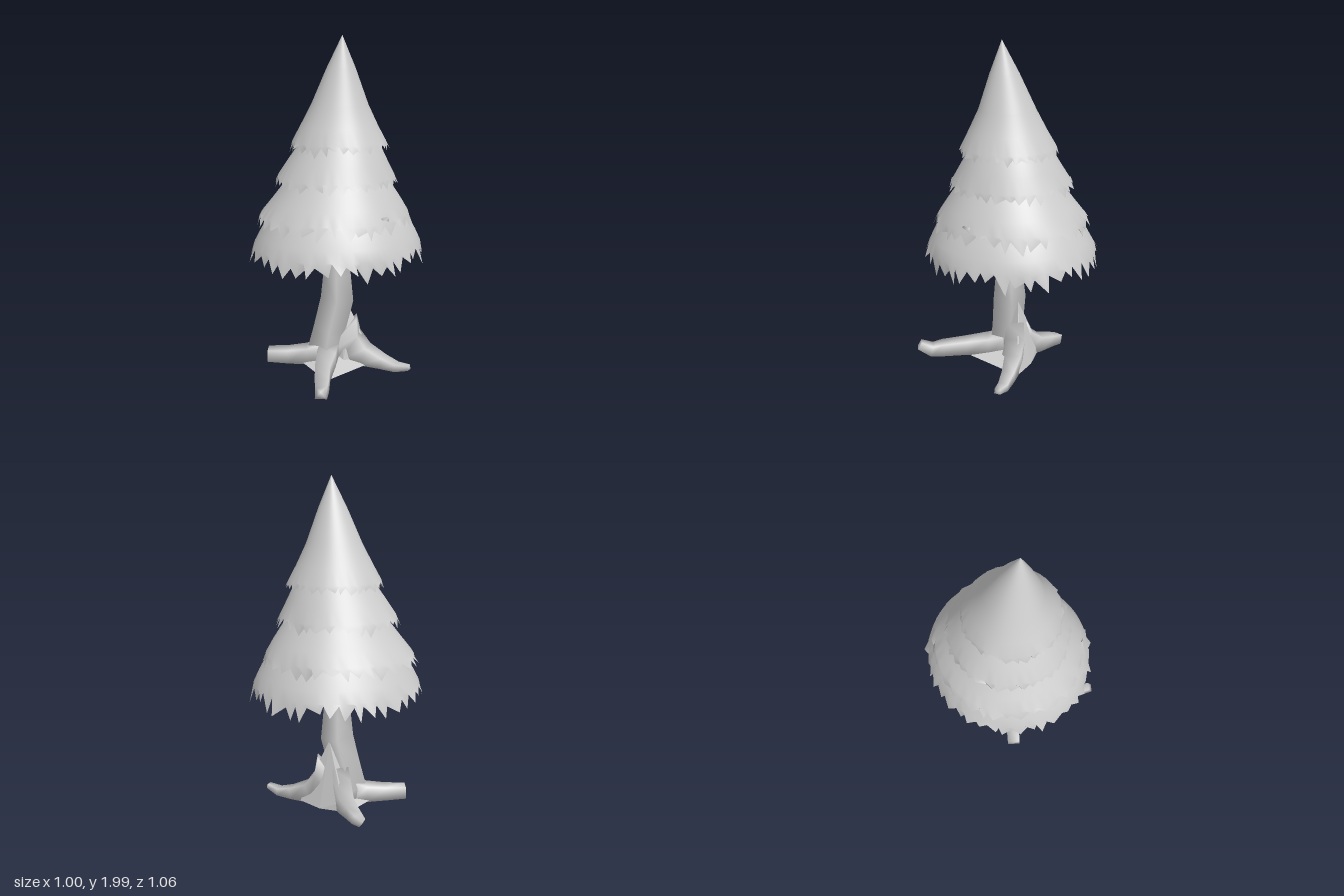
import * as THREE from 'three';
import { ConvexGeometry } from 'three/addons/geometries/ConvexGeometry.js';

const material = new THREE.MeshStandardMaterial({ color: 0xcccccc, side: THREE.DoubleSide });
const UP = new THREE.Vector3(0, 1, 0);
const FRONT = new THREE.Vector3(0, 0, 1);

// Small seeded generator for the ragged edges
function seeded(seed) {
  return () => {
    seed = (seed * 16807) % 2147483647;
    return seed / 2147483647;
  };
}

function part(name, geometry) {
  const mesh = new THREE.Mesh(geometry, material);
  mesh.name = name;
  return mesh;
}

// Skin a list of closed rings, each holding the same number of points
function loft(name, rings) {
  const n = rings[0].length;
  const index = [];
  for (let i = 0; i < rings.length - 1; i++) {
    for (let j = 0; j < n; j++) {
      const a = i * n + j, b = i * n + ((j + 1) % n);
      index.push(a, b, a + n, b, b + n, a + n);
    }
  }
  const geometry = new THREE.BufferGeometry().setFromPoints(rings.flat());
  geometry.setIndex(index);
  geometry.computeVertexNormals();
  return part(name, geometry);
}

// Four-sided limb through [x, y, z, halfWidth, halfHeight] stations, closed at both ends
function limb(name, stations, reference = UP) {
  const centres = stations.map(([x, y, z]) => new THREE.Vector3(x, y, z));
  const last = centres.length - 1;
  const rings = centres.map((c, i) => {
    const t = centres[Math.min(i + 1, last)].clone().sub(centres[Math.max(i - 1, 0)]).normalize();
    const u = reference.clone().cross(t).normalize();
    const v = t.clone().cross(u);
    const [, , , w, h = w] = stations[i];
    return [[1, 1], [-1, 1], [-1, -1], [1, -1]].map(([p, q]) =>
      c.clone().addScaledVector(u, p * w).addScaledVector(v, q * h));
  });
  const cap = (c) => Array.from({ length: 4 }, () => c.clone());
  return loft(name, [cap(centres[0]), ...rings, cap(centres[last])]);
}

// Solid web stretched over a few corner points
function web(name, corners) {
  return part(name, new ConvexGeometry(corners.map((c) => new THREE.Vector3(...c))));
}

// Open foliage skirt: [y, radius, centreX, centreZ] rows, the last one ragged
function skirt(name, rows, teeth, depth, stretch, seed) {
  const random = seeded(seed);
  const n = teeth * 2;
  const phase = random() * 6;
  const shift = Array.from({ length: n }, () => (random() - 0.5) * 1.2);
  const ring = ([y, r, cx, cz], ragged) => Array.from({ length: n }, (_, j) => {
    const a = ((j + (ragged ? shift[j] : 0)) / n) * Math.PI * 2;
    const wave = 1 + 0.006 * Math.sin(5 * a + phase) - stretch * Math.cos(2 * a);
    let drop = 0, flare = 1;
    if (ragged) {
      drop = depth * 0.2 * Math.sin(6 * a + phase);
      drop += j % 2 ? depth * (0.25 + 0.8 * random()) : -depth * 0.3 * random();
      flare = j % 2 ? 0.99 + 0.06 * random() : 0.985;
    }
    const radius = r * wave * flare;
    return new THREE.Vector3(cx + Math.cos(a) * radius, y - drop, cz + Math.sin(a) * radius);
  });
  return loft(name, rows.map((row, i) => ring(row, i === rows.length - 1)));
}

export function createModel() {
  const tree = new THREE.Group();
  tree.name = 'tree';

  // Foliage, top to bottom
  const foliage = new THREE.Group();
  foliage.name = 'foliage';
  foliage.add(
    skirt('topFoliage', [
      [2.0, 0, 0.063, 0.01], [1.82, 0.082, 0.047, 0.005], [1.62, 0.162, 0.03, 0],
      [1.5, 0.222, 0.025, 0], [1.415, 0.268, 0.022, -0.002], [1.395, 0.278, 0.022, -0.003],
    ], 34, 0.04, 0.005, 11),
    skirt('upperFoliage', [
      [1.52, 0.14, 0.02, -0.01], [1.4, 0.23, 0.015, -0.01], [1.3, 0.288, 0.005, -0.005],
      [1.215, 0.338, -0.003, -0.002], [1.195, 0.35, -0.005, 0],
    ], 36, 0.045, 0.005, 23),
    skirt('middleFoliage', [
      [1.34, 0.18, 0.01, 0], [1.17, 0.308, 0.008, -0.002], [1.07, 0.379, 0, 0],
      [1.0, 0.428, -0.01, 0.002], [0.975, 0.445, -0.013, 0.004],
    ], 38, 0.055, 0.015, 37),
    skirt('lowerFoliage', [
      [1.12, 0.31, 0.005, -0.005], [0.95, 0.42, 0.008, -0.005], [0.88, 0.459, 0.007, -0.005],
      [0.82, 0.489, 0.004, -0.005], [0.79, 0.5, 0.002, -0.005],
    ], 40, 0.075, 0.024, 53),
  );
  tree.add(foliage);

  // Square trunk, bending forward and to one side at the foot
  tree.add(limb('trunk', [
    [-0.04, 0.03, 0.05, 0.07], [-0.04, 0.12, 0.045, 0.08], [-0.02, 0.26, 0.035, 0.069],
    [0.009, 0.45, 0, 0.07], [0.01, 0.6, 0.002, 0.059], [0.005, 0.73, 0.005, 0.054],
    [0.008, 0.86, 0, 0.06], [0.01, 1.0, 0, 0.045], [0.02, 1.2, 0, 0.03],
  ], FRONT));

  // Branches under the foliage
  const branches = [
    [[0, 0.78, 0, 0.045], [0.08, 0.88, -0.01, 0.05], [0.24, 0.97, -0.01, 0.04], [0.405, 1.01, 0, 0.025, 0.02]],
    [[0, 0.82, 0, 0.045], [-0.06, 0.9, -0.07, 0.045], [-0.15, 0.94, -0.17, 0.03], [-0.18, 0.95, -0.22, 0.02]],
  ];
  branches.forEach((b) => tree.add(limb('branch', b)));

  // Roots spreading over the ground
  const roots = {
    frontLeftRoot: [[0, 0.1, 0.06, 0.06, 0.07], [0.06, 0.1, 0.13, 0.055], [0.15, 0.09, 0.24, 0.045],
      [0.26, 0.088, 0.34, 0.04], [0.31, 0.082, 0.39, 0.034], [0.365, 0.125, 0.44, 0.025]],
    frontRightRoot: [[-0.05, 0.1, 0.06, 0.06, 0.07], [-0.12, 0.085, 0.13, 0.05],
      [-0.2, 0.08, 0.22, 0.042], [-0.285, 0.083, 0.31, 0.04, 0.036]],
    backLeftRoot: [[0, 0.2, -0.02, 0.05, 0.17], [0.05, 0.14, -0.07, 0.06, 0.1], [0.13, 0.09, -0.12, 0.05, 0.06],
      [0.24, 0.065, -0.165, 0.038, 0.035], [0.33, 0.052, -0.195, 0.03, 0.022], [0.41, 0.07, -0.215, 0.018, 0.014]],
    backRightRoot: [[-0.01, 0.17, -0.02, 0.05, 0.13], [-0.07, 0.13, -0.05, 0.055, 0.08], [-0.16, 0.09, -0.1, 0.045, 0.05],
      [-0.25, 0.083, -0.14, 0.035], [-0.3, 0.072, -0.155, 0.03], [-0.33, 0.047, -0.14, 0.024, 0.02]],
  };
  for (const [name, stations] of Object.entries(roots)) tree.add(limb(name, stations));

  // Sloping buttress between the two back roots
  tree.add(web('buttress', [
    [0.01, 0.44, -0.065], [0.07, 0.22, -0.03], [-0.07, 0.22, 0], [0.035, 0.2, -0.115], [-0.04, 0.2, -0.085],
    [0.13, 0.12, -0.15], [0.15, 0.04, -0.18], [-0.14, 0.1, -0.11], [-0.16, 0.045, -0.11], [0, 0.03, -0.16],
    [0.08, 0.03, 0.02], [-0.1, 0.03, 0.02],
  ]));

  // Shallow pointed underside joining the roots
  tree.add(web('rootBase', [
    [0.17, 0.045, 0.23], [-0.16, 0.045, 0.17], [-0.18, 0.045, -0.09], [0.17, 0.04, -0.16],
    [-0.08, 0.008, 0.06], [0, 0.1, 0.02],
  ]));

  return tree;
}
